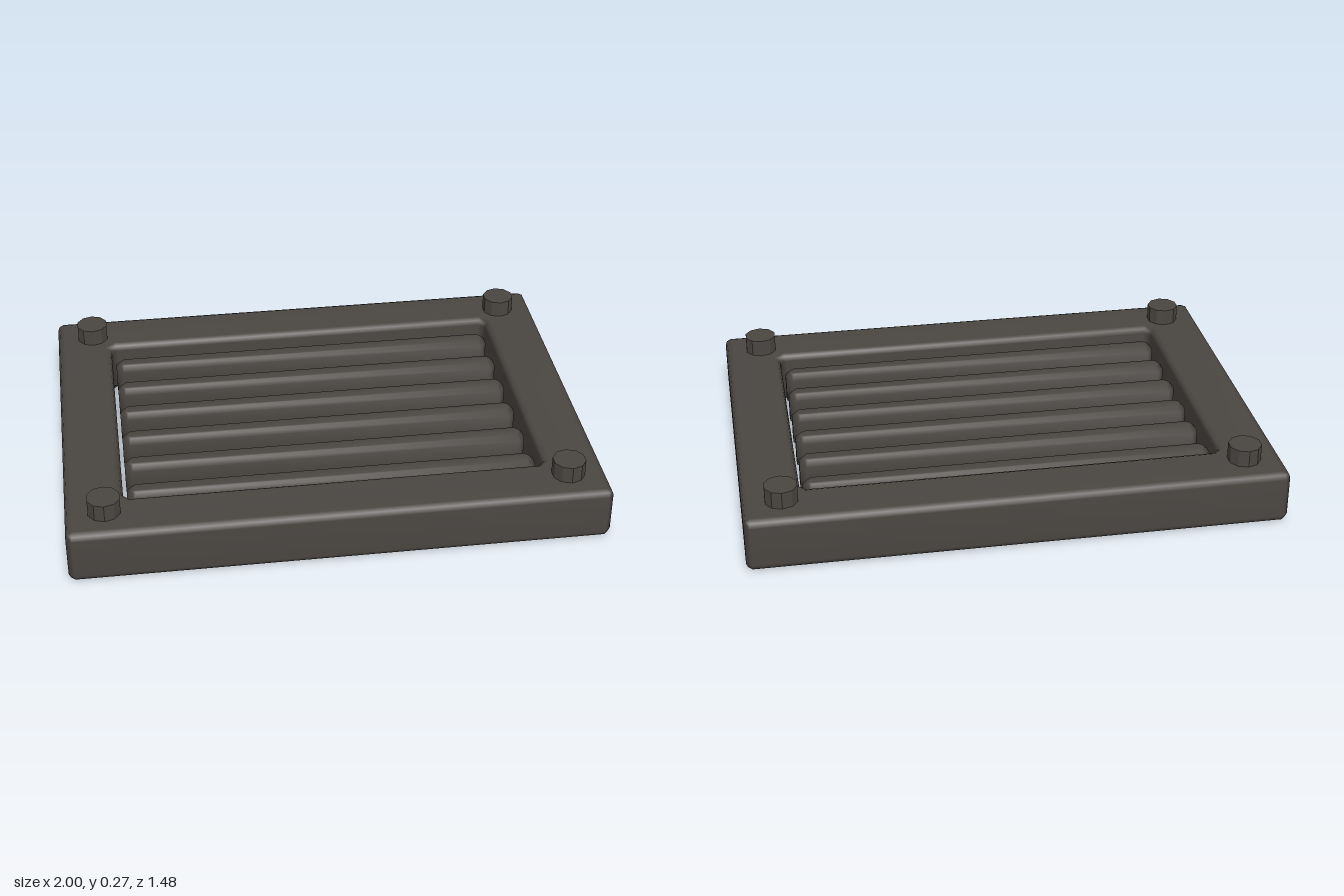
import * as THREE from 'three';
import { mergeVertices } from 'three/addons/utils/BufferGeometryUtils.js';

// Rectangle outline with cut corners
function cutRect(Target, halfX, halfZ, cut) {
  const path = new Target();
  path.moveTo(halfX - cut, -halfZ);
  path.lineTo(halfX, -halfZ + cut);
  path.lineTo(halfX, halfZ - cut);
  path.lineTo(halfX - cut, halfZ);
  path.lineTo(-halfX + cut, halfZ);
  path.lineTo(-halfX, halfZ - cut);
  path.lineTo(-halfX, -halfZ + cut);
  path.lineTo(-halfX + cut, -halfZ);
  path.closePath();
  return path;
}

// Upright extrusion from y0 to y1 with bevelled rims and soft shared normals
function softSlab(shape, y0, y1, bevel, segments) {
  let geo = new THREE.ExtrudeGeometry(shape, {
    depth: y1 - y0 - 2 * bevel,
    bevelEnabled: true,
    bevelThickness: bevel,
    bevelSize: bevel,
    bevelOffset: -bevel,
    bevelSegments: segments,
  });
  geo.rotateX(-Math.PI / 2);
  geo.translate(0, y0 + bevel, 0);
  geo.deleteAttribute('uv');
  geo.deleteAttribute('normal');
  geo = mergeVertices(geo, 1e-4);
  geo.computeVertexNormals();
  return geo;
}

export function createModel() {
  const model = new THREE.Group();
  model.name = 'ventGrille';
  const metal = new THREE.MeshStandardMaterial({ color: 0x4a4642 });
  const boltMetal = new THREE.MeshStandardMaterial({ color: 0x4a4642, flatShading: true });

  // Frame with a rectangular opening
  const outline = cutRect(THREE.Shape, 1, 0.74, 0.02);
  outline.holes.push(cutRect(THREE.Path, 0.785, 0.525, 0.025));
  const frame = new THREE.Mesh(softSlab(outline, 0, 0.205, 0.025, 2), metal);
  frame.name = 'frame';
  model.add(frame);

  // Six upright slats across the opening
  const slats = new THREE.Group();
  slats.name = 'slats';
  const slatGeo = softSlab(cutRect(THREE.Shape, 0.77, 0.045, 0.025), 0.035, 0.175, 0.02, 1);
  for (let i = 0; i < 6; i++) {
    const slat = new THREE.Mesh(slatGeo, metal);
    slat.name = `slat${i + 1}`;
    slat.position.z = (i - 2.5) * 0.175;
    slats.add(slat);
  }
  model.add(slats);

  // Bolt heads on the four corners
  const bolts = new THREE.Group();
  bolts.name = 'bolts';
  const boltGeo = new THREE.CylinderGeometry(0.062, 0.062, 0.1, 10);
  for (const sx of [-1, 1]) {
    for (const sz of [-1, 1]) {
      const bolt = new THREE.Mesh(boltGeo, boltMetal);
      bolt.name = `${sz > 0 ? 'front' : 'back'}${sx > 0 ? 'Left' : 'Right'}Bolt`;
      bolt.position.set(sx * 0.857, 0.22, sz * 0.603);
      bolts.add(bolt);
    }
  }
  model.add(bolts);

  return model;
}
